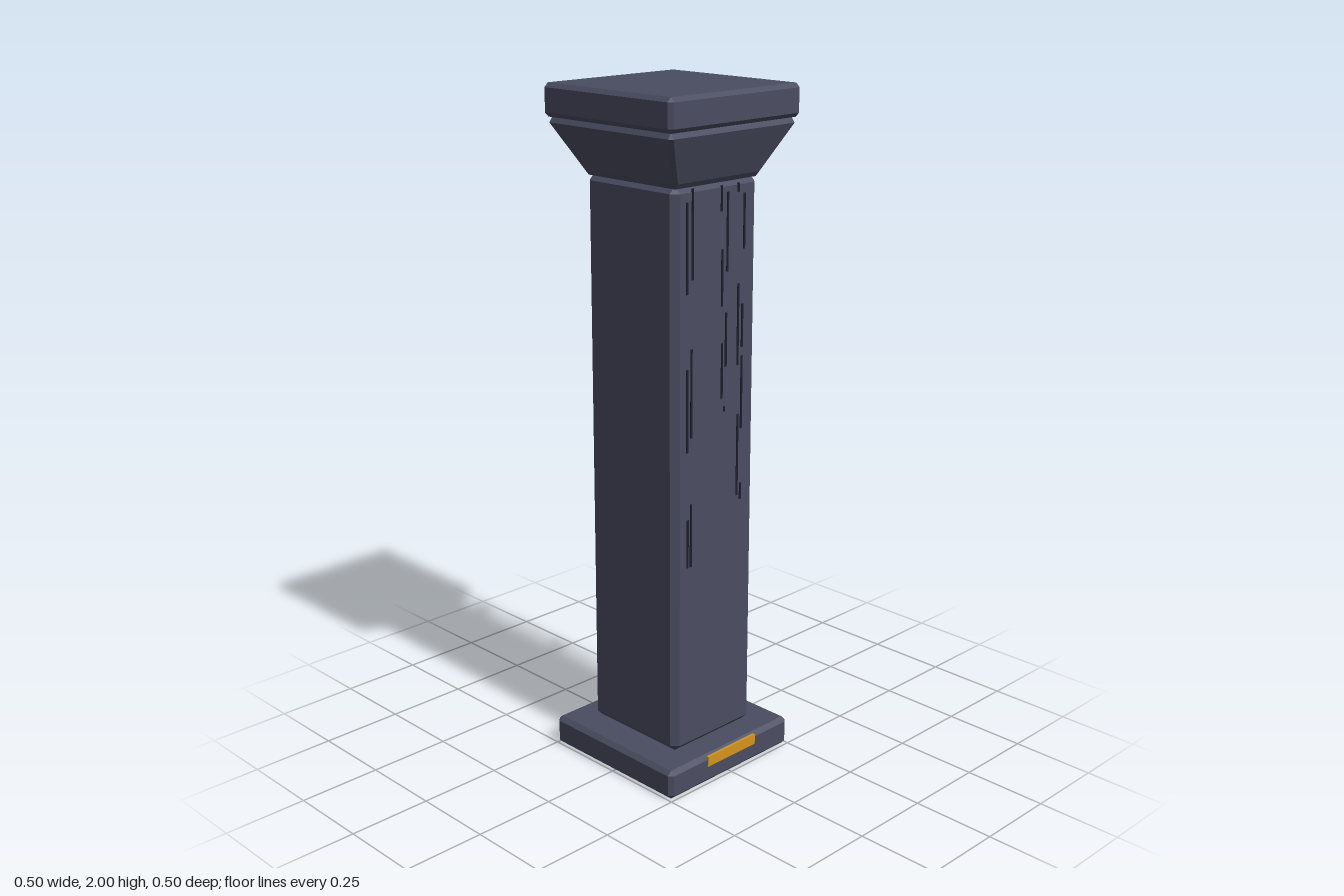
import * as THREE from 'three';

const mat = (name, color) => Object.assign(new THREE.MeshStandardMaterial({ color }), { name });

// Lofts rectangular rings [y, halfX, halfZ, cornerCut] into a closed flat-faced solid
function loft(rings) {
  const pos = [];
  const loops = rings.map(([y, x, z, c]) => [
    [x - c, y, z], [x, y, z - c], [x, y, c - z], [x - c, y, -z],
    [c - x, y, -z], [-x, y, c - z], [-x, y, z - c], [c - x, y, z],
  ]);
  for (let r = 0; r < loops.length - 1; r++) {
    for (let i = 0; i < 8; i++) {
      const j = (i + 1) % 8;
      const a = loops[r][i], b = loops[r][j], c = loops[r + 1][j], d = loops[r + 1][i];
      pos.push(...a, ...b, ...c, ...a, ...c, ...d);
    }
  }
  const low = loops[0], high = loops[loops.length - 1];
  for (let i = 1; i < 7; i++) {
    pos.push(...low[0], ...low[i + 1], ...low[i]);
    pos.push(...high[0], ...high[i], ...high[i + 1]);
  }
  const g = new THREE.BufferGeometry();
  g.setAttribute('position', new THREE.Float32BufferAttribute(pos, 3));
  g.computeVertexNormals();
  return g;
}

// Box with every edge chamfered by c
const chamferBox = (y0, y1, x, z, c) => loft([
  [y0, x - c, z - c, 0], [y0 + c, x, z, c], [y1 - c, x, z, c], [y1, x - c, z - c, 0],
]);

export function createModel() {
  const group = new THREE.Group();
  group.name = 'pillar';
  const stone = mat('slateStone', 0x4a4d61);
  const metal = mat('darkMetal', 0x3b3e4c);
  const crackMat = mat('crackBlack', 0x1c1e29);
  const amber = mat('amber', 0xd4951c);

  const add = (name, geometry, material, x = 0, y = 0, z = 0) => {
    const m = new THREE.Mesh(geometry, material);
    m.name = name;
    m.position.set(x, y, z);
    group.add(m);
    return m;
  };
  const zc = -0.002;

  // Stone body
  add('base', chamferBox(0, 0.09, 0.25, 0.25, 0.013), stone, 0, 0, zc);
  add('shaft', chamferBox(0.09, 1.755, 0.163, 0.177, 0.02), stone, 0, 0, zc);
  add('capital', loft([
    [1.748, 0.155, 0.17, 0], [1.763, 0.167, 0.182, 0.01],
    [1.893, 0.241, 0.241, 0.01], [1.91, 0.23, 0.23, 0],
  ]), stone, 0, 0, zc);
  add('topSlab', chamferBox(1.908, 2, 0.25, 0.25, 0.012), stone, 0, 0, zc);

  // Amber marker on the front of the base
  add('baseMarker', new THREE.BoxGeometry(0.2, 0.032, 0.008), amber, 0, 0.071, 0.247);

  // Thin vertical cracks on the front: [x, top, bottom]
  const cracks = [
    [-0.097, 1.745, 1.497], [-0.118, 1.71, 1.46], [-0.1, 1.305, 1.05], [-0.116, 1.25, 1.01],
    [-0.1, 0.855, 0.665], [-0.113, 0.81, 0.665], [0.014, 1.74, 1.67], [0.038, 1.72, 1.5],
    [0.018, 1.565, 1.405], [0.035, 1.385, 1.23], [0.02, 1.3, 1.14], [0.03, 1.115, 1.1],
    [0.08, 1.74, 1.715], [0.104, 1.71, 1.555], [0.083, 1.46, 1.225], [0.1, 1.4, 1.275],
    [0.1, 1.25, 1.035], [0.086, 1.08, 0.835], [0.1, 0.87, 0.82],
  ];
  for (const [x, top, bottom] of cracks) {
    add('crack', new THREE.BoxGeometry(0.007, top - bottom, 0.004), crackMat, x, (top + bottom) / 2, 0.175);
  }

  // Slightly wavy pair of cables at the back left corner
  [[0.202, -0.181, 0.007, 0], [0.213, -0.191, 0.008, 2]].forEach(([x, z, r, phase]) => {
    const points = [];
    for (let i = 0; i <= 7; i++) {
      const w = 0.002 * Math.sin(i * 1.7 + phase);
      points.push(new THREE.Vector3(x + w, 0.085 + i * 0.251, z - w));
    }
    add('cable', new THREE.TubeGeometry(new THREE.CatmullRomCurve3(points), 28, r, 6), metal);
  });

  // Clips holding the cables
  for (const y of [0.2, 0.7, 1.2, 1.7]) {
    add('cableClip', new THREE.BoxGeometry(0.08, 0.02, 0.036), metal, 0.187, y, -0.188);
  }
  return group;
}
